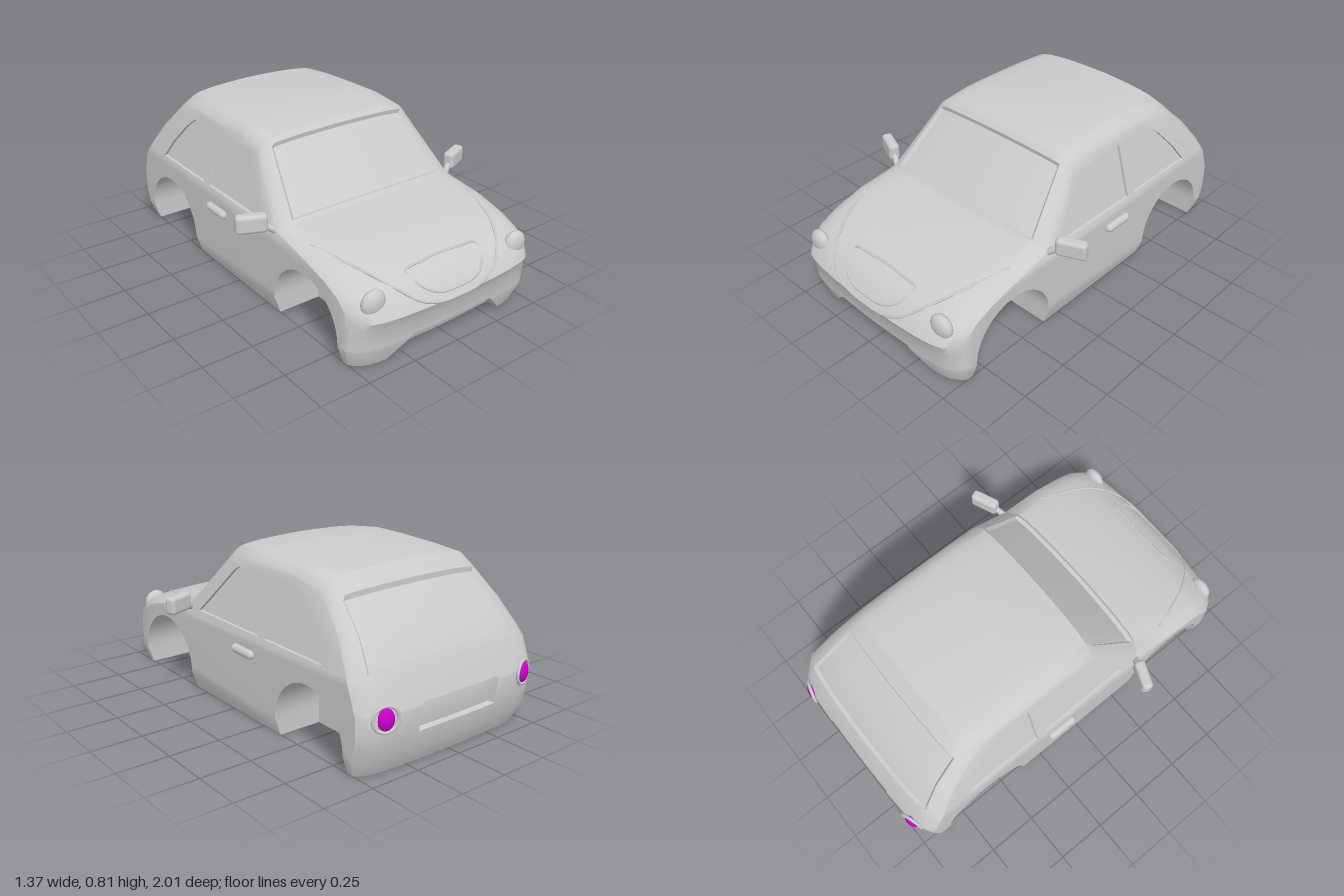
import * as THREE from 'three';
import { mergeGeometries, toCreasedNormals } from 'three/addons/utils/BufferGeometryUtils.js';
import { RoundedBoxGeometry } from 'three/addons/geometries/RoundedBoxGeometry.js';

const V = (x, y, z) => new THREE.Vector3(x, y, z);
const grey = new THREE.MeshStandardMaterial({ color: 0xcccccc });
const shell = new THREE.MeshStandardMaterial({ color: 0xcccccc, side: THREE.DoubleSide });
const lampPaint = new THREE.MeshStandardMaterial({ color: 0xcc00cc });

// Profile from front bumper over the roof to rear bumper: centre y, z, then edge y, z
const ROWS = [
  [0, .93, 0, .85], [.09, .965, .09, .87], [.19, .975, .19, .87], [.24, 1, .24, .87],
  [.29, .97, .28, .86], [.35, .91, .32, .82], [.40, .8, .36, .73], [.445, .62, .40, .58],
  [.475, .42, .435, .36], [.785, .13, .715, .09], [.81, -.05, .735, -.05], [.81, -.2, .735, -.2],
  [.80, -.45, .73, -.42], [.79, -.62, .71, -.56], [.74, -.67, .67, -.63], [.58, -.83, .57, -.75],
  [.47, -.92, .45, -.84], [.40, -.955, .40, -.875], [.28, -1, .28, -.92], [.17, -.985, .17, -.92],
  [.09, -.975, .09, -.90], [0, -.93, 0, -.87]];
const EXTRA = [1.12, 1.2, 8.05, 8.08, 8.3, 8.6, 8.9, 8.93, 14.1, 14.2, 16.2, 16.35, 17.85, 17.9, 19, 19.05];
const LEVELS = [...ROWS.keys(), ...EXTRA].sort((a, b) => a - b);
// Recessed areas: first row, last row, widest column, offset
const RECESSES = [
  [0, 1.12, 3, V(0, 0, -.06)], [8.08, 8.9, 7, V(0, -.012, -.012)],
  [14.2, 16.2, 7, V(0, -.01, .015)], [17.9, 19, 3, V(0, 0, .03)]];
const ARCHES = [.585, -.61], R = .235, AXLE = .09, WELL_X = .28, BELT = .4;

// Half width of the body at height y
const sideX = y => y < .09 ? .5 + y / 3 : .53 - .29 * Math.max(0, y - BELT);

function skin(r, s) {
  const i = Math.min(Math.floor(r), ROWS.length - 2), t = r - i;
  const [yc, zc, ye, ze] = ROWS[i].map((v, k) => v + (ROWS[i + 1][k] - v) * t);
  const f = .3 * s * s + .7 * Math.pow(Math.abs(s), 12);
  return V(s * sideX(ye), yc + (ye - yc) * f, zc + (ze - zc) * f);
}

// Point on the skin with a given x and y, searched between two rows
function onSkin(x, y, lo, hi) {
  const rising = hi > lo;
  if (!rising) [lo, hi] = [hi, lo];
  for (let k = 0; k < 30; k++) {
    const m = (lo + hi) / 2;
    if ((skin(m, x / .53).y < y) === rising) lo = m; else hi = m;
  }
  return skin(lo, x / .53);
}

function grid(rows) {
  const p = [];
  for (let i = 0; i + 1 < rows.length; i++) for (let j = 0; j + 1 < rows[i].length; j++) {
    const a = rows[i][j], b = rows[i][j + 1], c = rows[i + 1][j + 1], d = rows[i + 1][j];
    for (const q of [a, b, c, a, c, d]) p.push(q.x, q.y, q.z);
  }
  return new THREE.BufferGeometry().setAttribute('position', new THREE.Float32BufferAttribute(p, 3));
}

function plain(geo) {
  const g = geo.index ? geo.toNonIndexed() : geo;
  g.deleteAttribute('uv');
  g.deleteAttribute('normal');
  return g;
}

// Flat [z, y] outline laid on the body side, moved inward by inset or put at a fixed x
function sidePanel(pts, { holes = [], inset = 0, x = null } = {}) {
  const path = l => l.map(([z, y]) => new THREE.Vector2(-z, y));
  const shape = new THREE.Shape(path(pts));
  shape.holes = holes.map(h => new THREE.Path(path(h)));
  const g = plain(new THREE.ShapeGeometry(shape)), p = g.attributes.position;
  for (let i = 0; i < p.count; i++) p.setXYZ(i, x ?? sideX(p.getY(i)) - inset, p.getY(i), -p.getX(i));
  return g;
}

function mirrored(g) {
  const m = g.clone(), p = m.attributes.position;
  for (let i = 0; i < p.count; i += 3) for (const [k, src] of [[0, 0], [1, 2], [2, 1]]) {
    const s = g.attributes.position;
    p.setXYZ(i + k, -s.getX(i + src), s.getY(i + src), s.getZ(i + src));
  }
  return m;
}

// Wheel arch outline, front foot to rear foot
function archLine(c) {
  const l = [[c + R, 0]];
  for (let k = 0; k <= 24; k++) {
    const a = Math.PI * k / 24;
    l.push([c + R * Math.cos(a), AXLE + R * Math.sin(a)]);
  }
  return [...l, [c - R, 0]];
}

function bodyGeometry() {
  // Bumpers, bonnet, windscreen, roof and tail in one lofted skin
  const rows = LEVELS.map(r => {
    const a = r < 1.3 ? .66 - .24 * Math.min(1, skin(r, 0).y / .105) : .42;
    const half = [0, .1, .2, a, a + .02, (a + .78) / 2, .76, .84, .87, .91, .95, .98, 1];
    half[5] = (half[4] + half[6]) / 2;
    const point = (s, j) => {
      const p = skin(r, s);
      for (const [r0, r1, col, d] of RECESSES) if (r >= r0 && r <= r1 && j <= col) p.add(d);
      return p;
    };
    return [...half.slice(1).map((s, j) => point(-s, j + 1)).reverse(), ...half.map(point)];
  });

  // Side panels follow the edge of the skin
  const edge = rows.map(r => r[r.length - 1]).map(p => [p.z, +p.y.toFixed(5)]);
  const windows = [
    [[.27, .435], [.05, .675], [.02, .695], [-.02, .70], [-.23, .70], [-.23, .435]],
    [[-.28, .435], [-.28, .70], [-.43, .70], [-.47, .685], [-.53, .64], [-.63, .53], [-.695, .435]]];
  const upper = edge.filter(e => e[1] >= BELT);
  const mid = edge.filter(e => e[1] >= .09 && e[1] <= BELT);
  const arches = ARCHES.map(archLine);
  const lower = [...mid, ...[...arches].reverse().flatMap(a => a.slice(1, -1).reverse())];
  const sides = [sidePanel(upper, { holes: windows }), sidePanel(lower)];

  // Sills and bumper ends below the arches
  const feet = [.85, ...ARCHES.flatMap(c => [c + R, c - R]), -.87];
  for (let i = 0; i < 6; i += 2) {
    const top = [i === 0 ? .87 : feet[i], i === 4 ? -.90 : feet[i + 1]];
    sides.push(sidePanel([[feet[i], 0], [top[0], .09], [top[1], .09], [feet[i + 1], 0]]));
  }
  // Recessed side glass with its reveal
  for (const w of windows) {
    const loop = [...w, w[0]], ring = d => loop.map(([z, y]) => V(sideX(y) - d, y, z));
    sides.push(sidePanel(w, { inset: .015 }), grid([ring(0), ring(.015)]));
  }
  // Wheel wells
  for (const a of arches) {
    sides.push(sidePanel(a, { x: WELL_X }));
    sides.push(grid([a.map(([z, y]) => V(sideX(y), y, z)), a.map(([z, y]) => V(WELL_X, y, z))]));
  }

  // Flat floor notched for the wheels
  const notch = ARCHES.flatMap(c => [[.5, c + R], [WELL_X, c + R], [WELL_X, c - R], [.5, c - R]]);
  const outline = [
    ...rows[0].map(p => [p.x, p.z]), ...notch,
    ...rows[rows.length - 1].map(p => [p.x, p.z]).reverse(),
    ...notch.map(([x, z]) => [-x, z]).reverse()];
  const floor = new THREE.ShapeGeometry(new THREE.Shape(outline.map(([x, z]) => new THREE.Vector2(x, z))));
  floor.rotateX(Math.PI / 2);

  return toCreasedNormals(mergeGeometries([grid(rows), plain(floor), ...sides, ...sides.map(mirrored)]), .6);
}

export function createModel() {
  const car = new THREE.Group();
  car.name = 'carBody';
  const add = (name, geo, mat = grey, parent = car) => {
    const m = new THREE.Mesh(geo, mat);
    m.name = name;
    parent.add(m);
    return m;
  };
  add('bodyShell', bodyGeometry(), shell);

  // Bonnet crease and grille rim, laid on the skin
  const line = (name, pts, closed) => {
    const curve = new THREE.CatmullRomCurve3(pts.map(([x, y]) => onSkin(x, y, 2, 8)), closed);
    add(name, new THREE.TubeGeometry(curve, 64, .006, 6, closed));
  };
  const half = [[.47, .435], [.38, .39], [.3, .335], [.22, .275], [.13, .245]];
  line('bonnetCrease', [...half, [0, .235], ...half.map(([x, y]) => [-x, y]).reverse()], false);
  line('grilleRim', [[-.21, .365], [-.1, .373], [0, .376], [.1, .373], [.21, .365], [.18, .315],
    [.11, .278], [0, .27], [-.11, .278], [-.18, .315]], true);

  for (const side of [1, -1]) {
    const label = side > 0 ? 'left' : 'right';
    // Headlight
    const head = add(label + 'Headlight', new THREE.SphereGeometry(.062, 24, 16));
    head.position.copy(onSkin(side * .42, .31, 2, 8)).add(V(0, 0, -.01));
    head.scale.z = .55;

    // Tail lamp with its surround
    const tail = new THREE.Group();
    tail.name = label + 'TailLamp';
    tail.position.copy(onSkin(side * .42, .27, 21, 16));
    tail.rotation.y = -side * .3;
    car.add(tail);
    add('lampRim', new THREE.TorusGeometry(.058, .008, 8, 28), grey, tail);
    add('lampLens', new THREE.SphereGeometry(.045, 20, 14), lampPaint, tail).scale.set(.85, 1.1, .5);

    // Door mirror on a short stem
    const mirror = add(label + 'Mirror', new RoundedBoxGeometry(.145, .088, .055, 3, .018));
    mirror.position.set(side * .613, .48, .305);
    mirror.rotation.y = side * .4;
    const stem = new THREE.LineCurve3(V(side * .505, .425, .355), V(side * .565, .47, .325));
    add(label + 'MirrorStem', new THREE.TubeGeometry(stem, 1, .016, 8));

    // Door handle
    const handle = add(label + 'DoorHandle', new THREE.CapsuleGeometry(.022, .12, 6, 12));
    handle.position.set(side * .535, .34, -.135);
    handle.rotation.x = Math.PI / 2;
  }
  return car;
}
